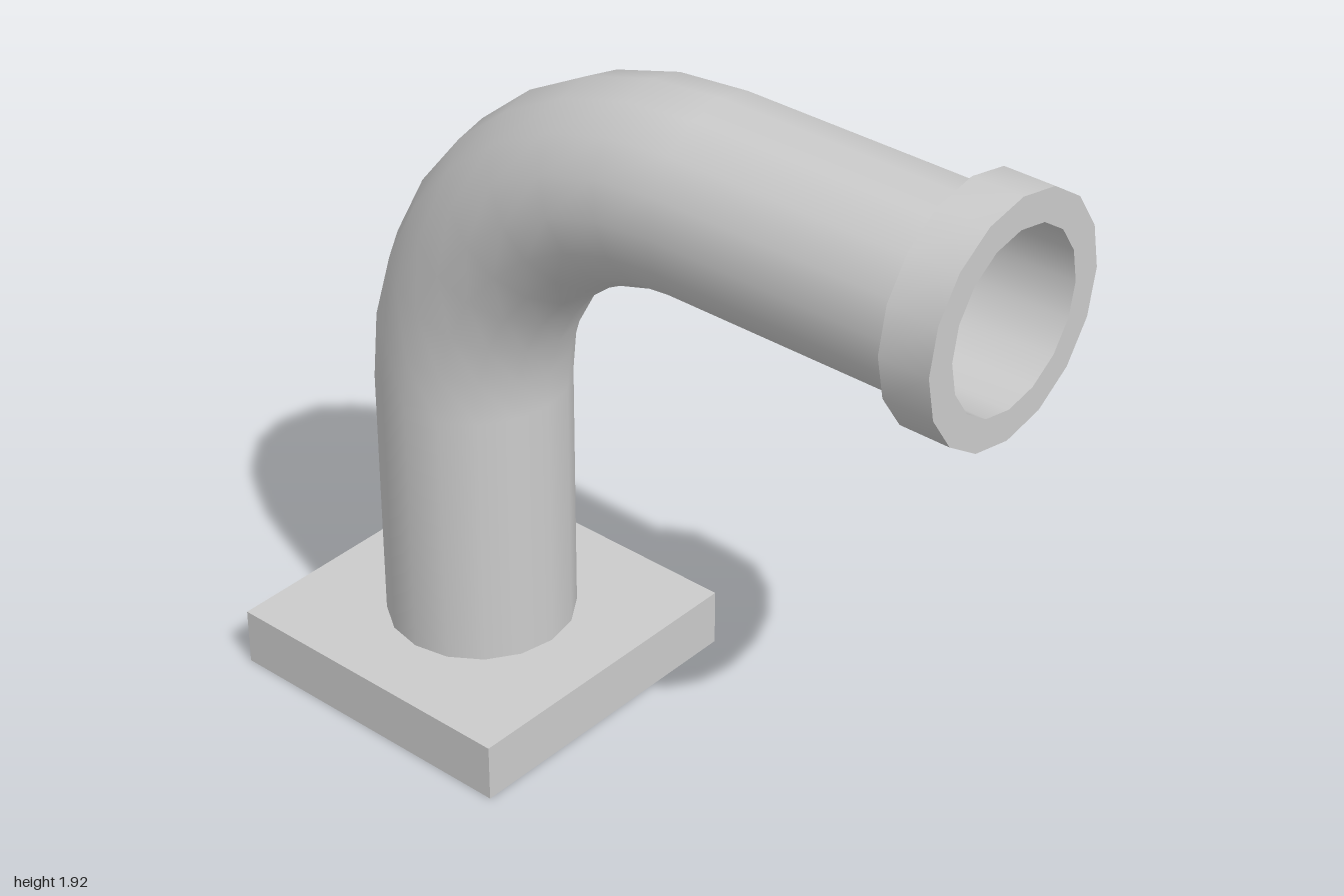
import * as THREE from 'three';
import { toCreasedNormals } from 'three/addons/utils/BufferGeometryUtils.js';

const SIDES = 16, BEND_STEPS = 8;
const PIPE_R = 0.244, BORE_R = 0.217, COLLAR_R = 0.295;
const PIPE_X = -0.575, PIPE_Y = 1.63, BEND_R = 0.775;
const BEND_X = PIPE_X + BEND_R, BEND_Y = PIPE_Y - BEND_R;
const PLATE_H = 0.155, PLATE_W = 0.85;
const COLLAR_X = 0.87, END_X = 1;

// Round section swept up the riser, around the quarter bend and along the spout
function pipeGeometry() {
  const stations = [{ x: PIPE_X, y: PLATE_H - 0.005, a: 0 }];
  for (let i = 0; i <= BEND_STEPS; i++) {
    const a = (i / BEND_STEPS) * Math.PI / 2;
    stations.push({ x: BEND_X - BEND_R * Math.cos(a), y: BEND_Y + BEND_R * Math.sin(a), a });
  }
  stations.push({ x: COLLAR_X + 0.01, y: PIPE_Y, a: Math.PI / 2 });

  const positions = [], normals = [], index = [], row = SIDES + 1;
  stations.forEach(({ x, y, a }, i) => {
    for (let j = 0; j <= SIDES; j++) {
      const t = (j / SIDES) * Math.PI * 2;
      const nx = -Math.cos(a) * Math.cos(t), ny = Math.sin(a) * Math.cos(t), nz = Math.sin(t);
      positions.push(x + PIPE_R * nx, y + PIPE_R * ny, PIPE_R * nz);
      normals.push(nx, ny, nz);
      if (i < stations.length - 1 && j < SIDES) {
        const p = i * row + j, q = p + row;
        index.push(p, p + 1, q, p + 1, q + 1, q);
      }
    }
  });
  const g = new THREE.BufferGeometry();
  g.setAttribute('position', new THREE.Float32BufferAttribute(positions, 3));
  g.setAttribute('normal', new THREE.Float32BufferAttribute(normals, 3));
  g.setIndex(index);
  return g;
}

// Collar, its rim and the closed bore behind it, turned around the spout axis
function collarGeometry() {
  const profile = [
    [PIPE_R - 0.01, COLLAR_X], [COLLAR_R, COLLAR_X], [COLLAR_R, END_X],
    [BORE_R, END_X], [BORE_R, BEND_X], [0, BEND_X],
  ].map(([r, h]) => new THREE.Vector2(r, h));
  const g = new THREE.LatheGeometry(profile, SIDES);
  g.rotateZ(-Math.PI / 2);
  return toCreasedNormals(g, Math.PI / 5);
}

export function createModel() {
  const group = new THREE.Group();
  group.name = 'pipeElbow';
  const material = new THREE.MeshStandardMaterial({ color: 0xcccccc });
  const add = (name, geometry, x = 0, y = 0) => {
    const mesh = new THREE.Mesh(geometry, material);
    mesh.name = name;
    mesh.position.set(x, y, 0);
    group.add(mesh);
  };

  add('basePlate', new THREE.BoxGeometry(PLATE_W, PLATE_H, PLATE_W), PIPE_X, PLATE_H / 2);
  add('bentPipe', pipeGeometry());
  add('collarAndBore', collarGeometry(), 0, PIPE_Y);
  return group;
}
